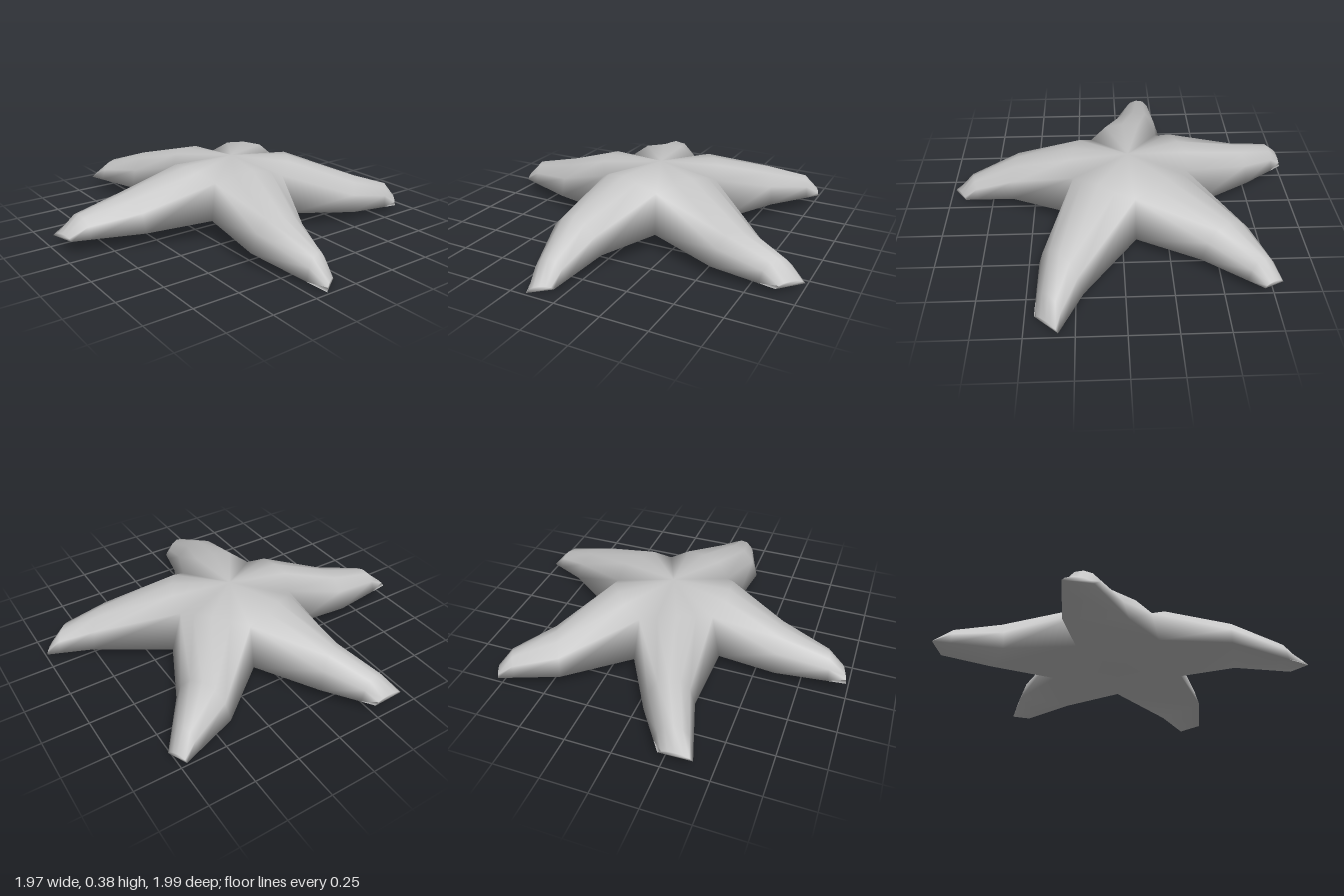
import * as THREE from 'three';
import { mergeVertices } from 'three/addons/utils/BufferGeometryUtils.js';

// Outline corners between neighbouring arms: x, underside height, z
const valleys = [
  [0.20, 0.12, 0.27], [0.32, 0.10, -0.18], [-0.07, 0.09, -0.42],
  [-0.42, 0.08, -0.12], [-0.24, 0.08, 0.305],
];

// Each arm runs from its valley to the next one; mid and tip hold both edges
const arms = [
  { name: 'leftArm', mid: [[0.58, 0.08, 0.30], [0.62, 0.08, -0.03]], tip: [[0.985, 0, 0.17], [0.91, 0.01, 0.06]], ridge: 0.255 },
  { name: 'backLeftArm', mid: [[0.44, 0.06, -0.55], [0.21, 0.05, -0.77]], tip: [[0.45, 0.03, -0.89], [0.33, 0.03, -1]], ridge: 0.225 },
  { name: 'backRightArm', mid: [[-0.40, 0.08, -0.58], [-0.68, 0.08, -0.43]], tip: [[-0.69, 0.07, -0.785], [-0.79, 0.07, -0.74]], ridge: 0.26 },
  { name: 'rightArm', mid: [[-0.75, 0.08, 0.07], [-0.63, 0.08, 0.30]], tip: [[-0.985, 0.08, 0.235], [-0.98, 0.08, 0.41]], ridge: 0.275 },
  { name: 'frontArm', mid: [[-0.27, 0.08, 0.62], [0.06, 0.08, 0.59]], tip: [[-0.22, 0.075, 0.99], [-0.08, 0.075, 0.95]], ridge: 0.265 },
];

const vec = (p) => new THREE.Vector3(...p);
const crown = new THREE.Vector3(-0.04, 0.377, -0.03);
const belly = new THREE.Vector3(-0.04, 0.085, -0.03);

// Rounded section from one edge to the other: share of width, share of height
const PROFILE = [[0, 0], [0.1, 0.55], [0.28, 0.9], [0.5, 1], [0.72, 0.9], [0.9, 0.55], [1, 0]];

function section(a, b, ridge) {
  return PROFILE.map(([t, h]) => {
    const p = a.clone().lerp(b, t);
    p.y += (ridge - p.y) * h;
    return p;
  });
}

// Where the arm joins the body, its walls lean in towards the crown
function rootSection(a, b) {
  const pts = section(a, b, 0.372);
  [[1, a], [5, b]].forEach(([i, v]) => {
    pts[i].copy(v).lerp(crown, 0.16);
    pts[i].y = 0.31;
  });
  pts[2].y = pts[4].y = 0.36;
  return pts;
}

export function createModel() {
  const group = new THREE.Group();
  const skin = new THREE.MeshStandardMaterial({ color: 0xc6c6c6 });
  skin.name = 'grey skin';

  const pos = [];
  const tri = (...pts) => pts.forEach((p) => pos.push(p.x, p.y, p.z));
  const quad = (a, b, c, d) => { tri(a, b, c); tri(a, c, d); };
  const last = PROFILE.length - 1;

  arms.forEach((arm, k) => {
    const [ma, mb] = arm.mid.map(vec);
    const [ta, tb] = arm.tip.map(vec);
    const na = ma.clone().lerp(ta, 0.74);
    const nb = mb.clone().lerp(tb, 0.74);
    const rings = [
      rootSection(vec(valleys[k]), vec(valleys[(k + 1) % 5])),
      section(ma, mb, arm.ridge),
      section(na, nb, (na.y + nb.y) / 2 + 0.115),
      section(ta, tb, (ta.y + tb.y) / 2 + 0.025),
    ];

    // Upper skin and underside along the arm
    for (let i = 0; i < rings.length - 1; i++) {
      const r = rings[i], s = rings[i + 1];
      for (let j = 0; j < last; j++) quad(r[j], s[j], s[j + 1], r[j + 1]);
      quad(r[last], s[last], s[0], r[0]);
    }

    // Blunt tip
    const end = rings[rings.length - 1];
    for (let j = 1; j < last; j++) tri(end[0], end[j + 1], end[j]);

    // Slice of the central body
    const root = rings[0];
    for (let j = 1; j < last - 1; j++) tri(crown, root[j], root[j + 1]);
    tri(root[0], root[1], crown);
    tri(root[last - 1], root[last], crown);
    // The two wall slivers fold into the valley seam shared with the next arm
    tri(belly, root[last], root[0]);
  });

  // One continuous skin with smooth normals
  let geometry = new THREE.BufferGeometry();
  geometry.setAttribute('position', new THREE.Float32BufferAttribute(pos, 3));
  geometry = mergeVertices(geometry, 1e-4);
  geometry.computeVertexNormals();

  const body = new THREE.Mesh(geometry, skin);
  body.name = 'starfishBody';
  group.add(body);
  return group;
}
